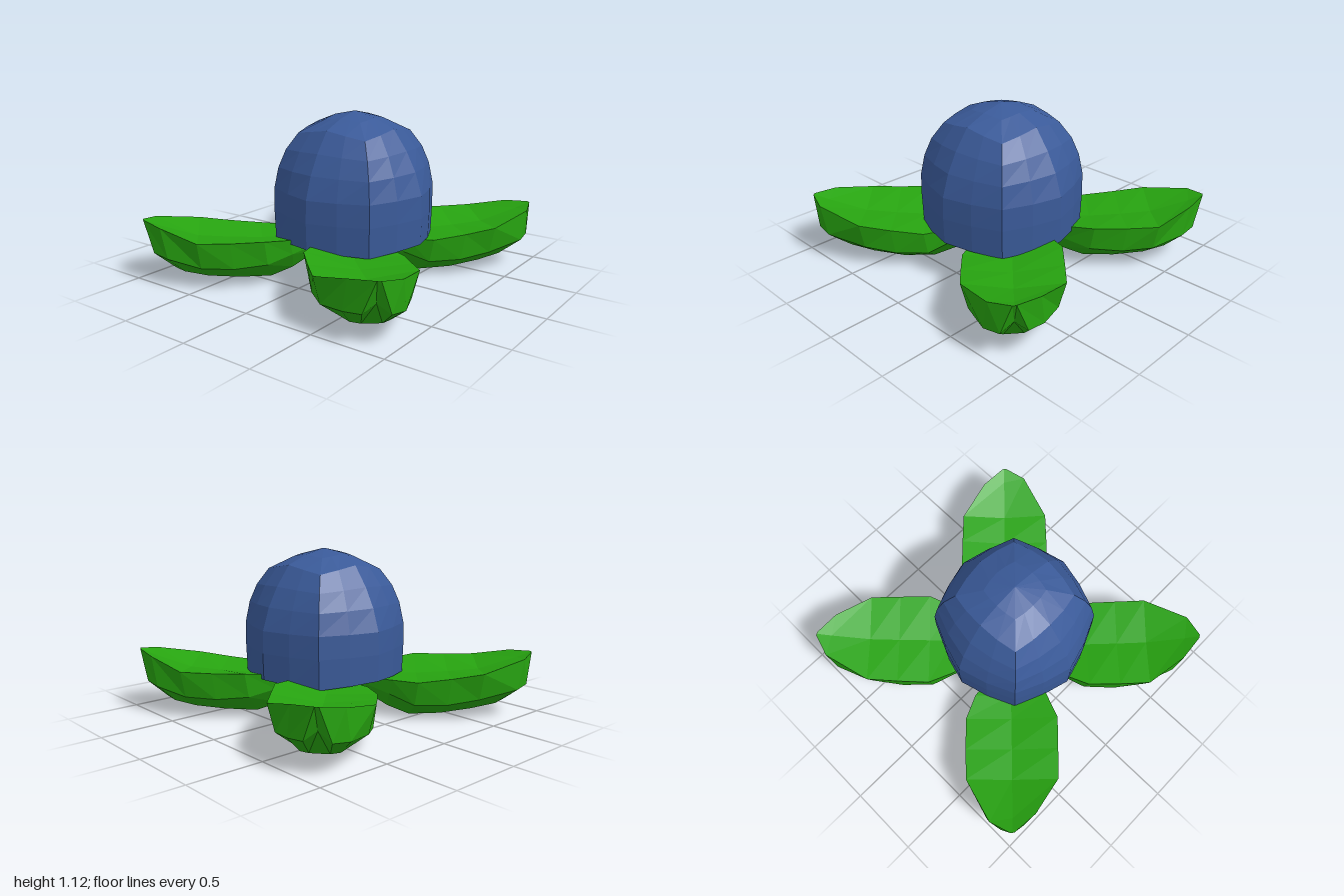
import * as THREE from 'three';

const green = new THREE.MeshStandardMaterial({ color: 0x27a410, flatShading: true });
green.name = 'leaf green';
const blue = new THREE.MeshStandardMaterial({ color: 0x3a5a99, flatShading: true });
blue.name = 'berry blue';

// Joins rings of equal point count and closes both ends with fans round their centres.
function loft(rings, flip) {
  const n = rings[0].length, pos = rings.flat(2), idx = [];
  const tri = (a, b, c) => (flip ? idx.push(a, c, b) : idx.push(a, b, c));
  for (let i = 0; i < rings.length - 1; i++) {
    for (let k = 0; k < n; k++) {
      const a = i * n + k, b = i * n + (k + 1) % n;
      tri(a, a + n, b);
      tri(a + n, b + n, b);
    }
  }
  const last = (rings.length - 1) * n;
  const centre = ring => [0, 1, 2].map(j => ring.reduce((s, p) => s + p[j], 0) / n);
  pos.push(...centre(rings[0]), ...centre(rings[rings.length - 1]));
  const c0 = last + n;
  for (let k = 0; k < n; k++) {
    const m = (k + 1) % n;
    tri(c0, k, m);
    tri(c0 + 1, last + m, last + k);
  }
  const g = new THREE.BufferGeometry();
  g.setAttribute('position', new THREE.Float32BufferAttribute(pos, 3));
  g.setIndex(idx);
  const flat = g.toNonIndexed();
  flat.computeVertexNormals();
  return flat;
}

// Leaf stations: rim [along, half width, height], belt and bottom likewise.
const leafStations = [
  [[0.0, 0.03, 0.24], [0.0, 0.035, 0.21], [0.0, 0.03, 0.17]],
  [[0.2, 0.09, 0.24], [0.2, 0.085, 0.2], [0.2, 0.05, 0.14]],
  [[0.4, 0.25, 0.275], [0.38, 0.22, 0.17], [0.37, 0.12, 0.055]],
  [[0.57, 0.32, 0.285], [0.55, 0.29, 0.12], [0.52, 0.13, 0.0]],
  [[0.79, 0.318, 0.298], [0.77, 0.295, 0.115], [0.73, 0.17, 0.02]],
  [[1.0, 0.312, 0.318], [0.98, 0.27, 0.135], [0.94, 0.16, 0.045]],
  [[1.262, 0.152, 0.385], [1.22, 0.175, 0.18], [1.1, 0.115, 0.068]],
  [[1.358, 0.012, 0.408], [1.305, 0.08, 0.195], [1.16, 0.06, 0.08]],
];

function leafGeometry(sx, sz) {
  // The leaf leans a little near its foot and its tip is slightly skewed
  const place = (u, w, y) => {
    const v = w + 0.02 * Math.min(1, u * 2);
    const along = u - Math.max(0, u - 1) * 0.62 * w;
    const lean = 0.09 * Math.min(1, u * 2, Math.max(0, (1 - u) * 2.3));
    return [sx * (along + v) * Math.SQRT1_2, y + lean * w, sz * (along - v) * Math.SQRT1_2];
  };
  const rings = leafStations.map(([rim, belt, base]) => [
    place(rim[0], 0, rim[2] - rim[1] * 0.12), // shallow groove along the middle
    ...[rim, belt].map(([u, w, y]) => place(u, w, y)),
    ...[1, -1].map(side => place(base[0], side * base[1], base[2])),
    ...[belt, rim].map(([u, w, y]) => place(u, -w, y)),
  ]);
  return loft(rings, sx * sz < 0);
}

// Dome rings: side radius and height, then corner offset and height.
const domeRings = [
  [0.25, 0.252, 0.18, 0.25],
  [0.53, 0.272, 0.385, 0.25],
  [0.535, 0.45, 0.39, 0.45],
  [0.53, 0.6, 0.388, 0.6],
  [0.48, 0.75, 0.367, 0.74],
  [0.41, 0.88, 0.33, 0.86],
  [0.31, 1.015, 0.27, 0.97],
  [0.16, 1.075, 0.14, 1.058],
  [0.004, 1.11, 0.003, 1.11],
];

function domeGeometry() {
  const rings = domeRings.map(([r, y, c, cy]) => {
    const ring = [];
    for (let q = 0; q < 4; q++) {
      const a = q * Math.PI / 2;
      const mid = [(r + c) * 0.515, (y + cy) / 2, c * 0.515];
      const quarter = [[r, y, 0], mid, [c, cy, c], [mid[2], mid[1], mid[0]]];
      for (const [x, h, z] of quarter) {
        ring.push([x * Math.cos(a) - z * Math.sin(a), h, x * Math.sin(a) + z * Math.cos(a)]);
      }
    }
    return ring;
  });
  return loft(rings, false);
}

export function createModel() {
  const model = new THREE.Group();
  model.name = 'berryOnLeaves';

  const dome = new THREE.Mesh(domeGeometry(), blue);
  dome.name = 'berryDome';
  dome.position.set(0.018, 0, 0.08);
  model.add(dome);

  // Four leaves on the diagonals
  for (const [sx, xName] of [[1, 'Left'], [-1, 'Right']]) {
    for (const [sz, zName] of [[1, 'front'], [-1, 'back']]) {
      const leaf = new THREE.Mesh(leafGeometry(sx, sz), green);
      leaf.name = zName + xName + 'Leaf';
      model.add(leaf);
    }
  }
  return model;
}
